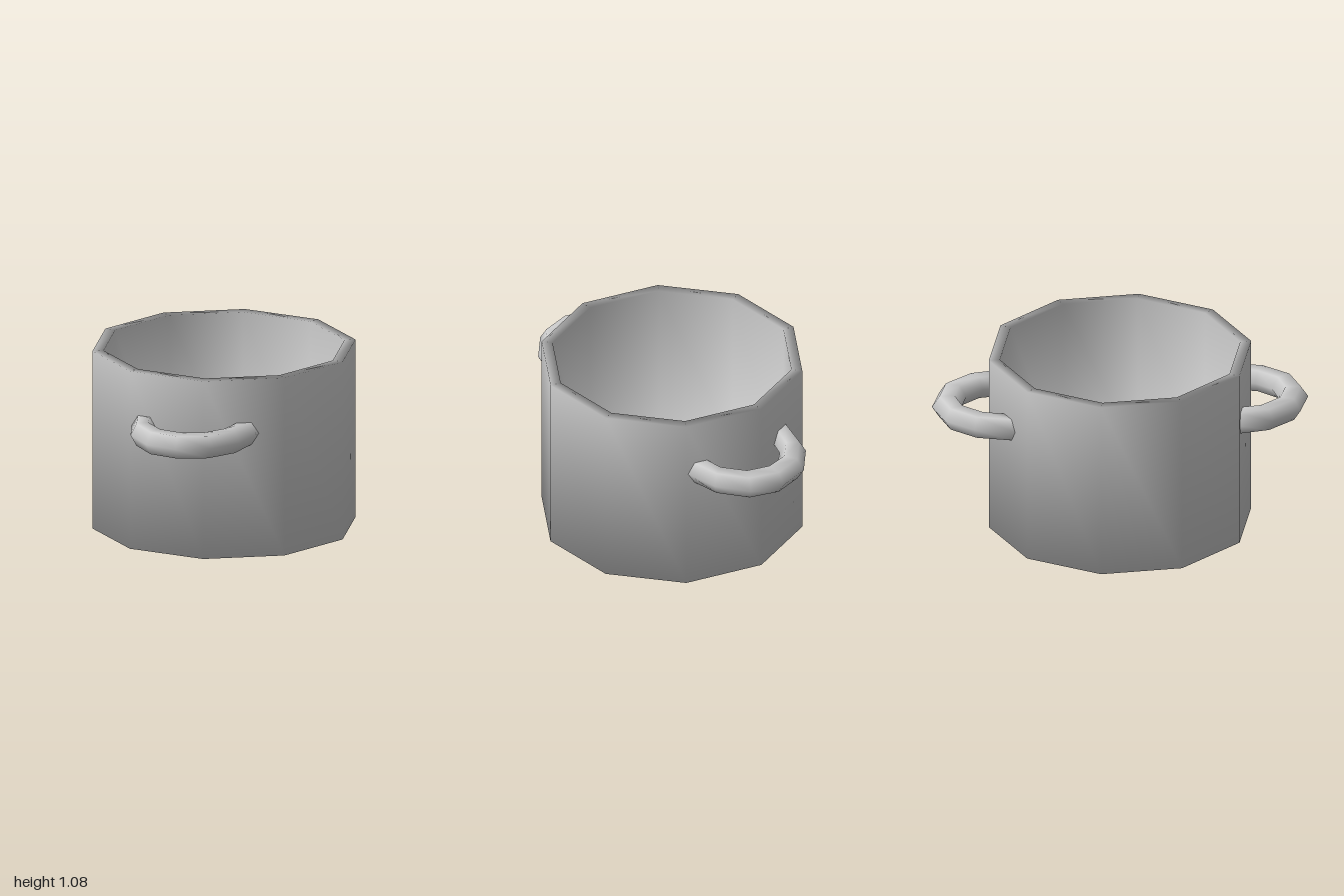
import * as THREE from 'three';

const SIDES = 10;
const HANDLE_Y = 0.747, HANDLE_R = 0.077, HANDLE_SIDES = 6;

// Handle path seen from above: inner x, z and outer x, z of each cross-section
const HANDLE_RINGS = [
  [0.13, 0.68, 0.01, 0.77],
  [0.21, 0.785, 0.15, 0.92],
  [0.34, 0.83, 0.355, 0.998],
  [0.455, 0.80, 0.55, 0.95],
  [0.54, 0.72, 0.685, 0.80],
  [0.565, 0.60, 0.72, 0.59],
  [0.53, 0.45, 0.648, 0.36],
];

// Hexagonal tube lofted through the cross-sections, closed at both ends
function handleGeometry() {
  const positions = [], index = [];
  const n = HANDLE_SIDES, last = (HANDLE_RINGS.length - 1) * n;
  HANDLE_RINGS.forEach(([ix, iz, ox, oz], i) => {
    for (let j = 0; j < n; j++) {
      const a = (j / n) * Math.PI * 2, t = (1 + Math.cos(a)) / 2;
      positions.push(ix + (ox - ix) * t, HANDLE_Y + HANDLE_R * Math.sin(a), iz + (oz - iz) * t);
      if (i === HANDLE_RINGS.length - 1) continue;
      const p = i * n + j, q = i * n + ((j + 1) % n);
      index.push(p, p + n, q, q, p + n, q + n);
    }
  });
  for (let j = 1; j < n - 1; j++) {
    index.push(0, j, j + 1, last, last + j + 1, last + j);
  }
  const geometry = new THREE.BufferGeometry();
  geometry.setAttribute('position', new THREE.Float32BufferAttribute(positions, 3));
  geometry.setIndex(index);
  geometry.computeVertexNormals();
  return geometry;
}

export function createModel() {
  const group = new THREE.Group();
  group.name = 'cookingPot';
  const material = new THREE.MeshStandardMaterial({ color: 0xcccccc });

  // Ten-sided pot: underside, outer wall, rim, inner wall, floor
  const profile = [
    [0, 0], [0.775, 0], [0.775, 1.075], [0.71, 1.075], [0.71, 0.065], [0, 0.065],
  ].map(([r, y]) => new THREE.Vector2(r, y));
  const pot = new THREE.Mesh(new THREE.LatheGeometry(profile, SIDES), material);
  pot.name = 'pot';
  group.add(pot);

  // Two handles, half a turn apart
  const geometry = handleGeometry();
  ['frontHandle', 'backHandle'].forEach((name, i) => {
    const handle = new THREE.Mesh(geometry, material);
    handle.name = name;
    handle.rotation.y = i * Math.PI;
    group.add(handle);
  });
  return group;
}
